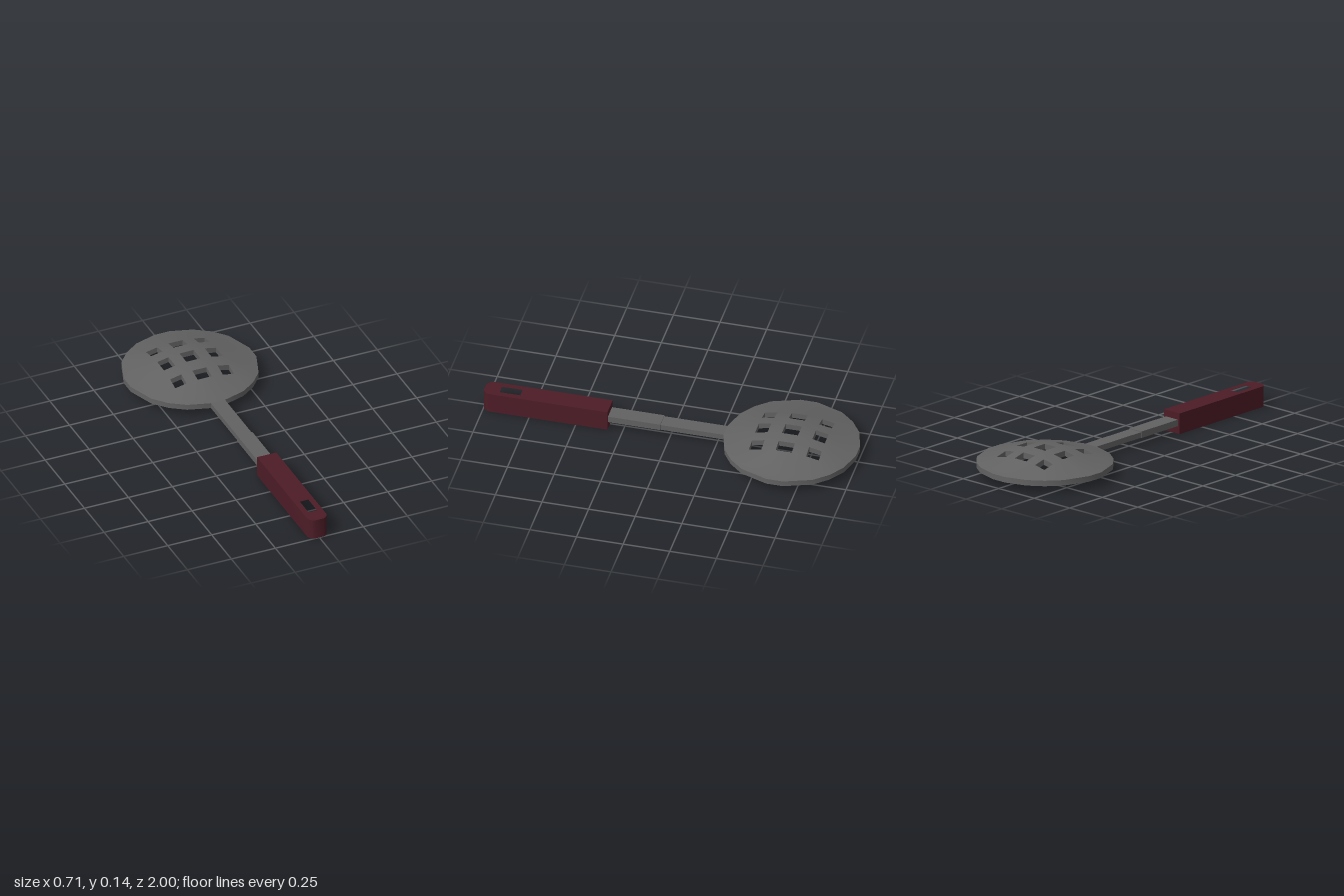
import * as THREE from 'three';
import { toCreasedNormals } from 'three/addons/utils/BufferGeometryUtils.js';

const metal = new THREE.MeshStandardMaterial({ color: 0x626262 });
const grip = new THREE.MeshStandardMaterial({ color: 0x4c1c26 });
const HEAD_Z = -0.645, THICK = 0.03;

// Domed, pierced head: a 5x5 cell grid with 9 cells open, ringed out to a 20-sided rim
function headGeometry() {
  const gx = [-0.167, -0.103, -0.04, 0.04, 0.103, 0.167];
  const gz = [-0.187, -0.12, -0.043, 0.043, 0.12, 0.187];
  const pts = [], quads = [];
  const dome = (x, z) => 0.145 - 0.75 * (x * x + z * z);
  for (const z of gz) for (const x of gx) pts.push([x, dome(x, z), z]);
  for (let j = 0; j < 5; j++) for (let i = 0; i < 5; i++) {
    if (i % 2 === 0 && j % 2 === 0) continue; // square hole
    const a = j * 6 + i;
    quads.push([a, a + 6, a + 7, a + 1]);
  }

  // rim points matching the border of the grid, addressed by column and row
  const side = [[0.24, 0.265], [0.16, 0.32], [0.043, 0.355]];
  const flank = [[0.24, 0.265], [0.305, 0.19], [0.357, 0.045]];
  const rimPoint = (i, j) => {
    const sx = i < 3 ? -1 : 1, sz = j < 3 ? -1 : 1;
    const ci = Math.min(i, 5 - i), cj = Math.min(j, 5 - j);
    const [x, z] = cj === 0 ? side[ci] : flank[cj];
    return [sx * x, sz * z];
  };
  const border = [];
  for (let k = 0; k < 5; k++) border.push([k, 0]);
  for (let k = 0; k < 5; k++) border.push([5, k]);
  for (let k = 5; k > 0; k--) border.push([k, 5]);
  for (let k = 5; k > 0; k--) border.push([0, k]);
  let inner = border.map(([i, j]) => j * 6 + i);
  for (const [t, y] of [[0.8, 0.079], [1, 0.072]]) {
    const outer = border.map(([i, j]) => {
      const [x, z] = rimPoint(i, j);
      pts.push([gx[i] + (x - gx[i]) * t, y, gz[j] + (z - gz[j]) * t]);
      return pts.length - 1;
    });
    for (let k = 0; k < 20; k++) {
      const n = (k + 1) % 20;
      quads.push([inner[k], inner[n], outer[n], outer[k]]);
    }
    inner = outer;
  }

  // top and underside, then walls along every open edge
  const pos = [];
  const top = i => pts[i], low = i => [pts[i][0], pts[i][1] - THICK, pts[i][2]];
  const quad = (a, b, c, d) => pos.push(...a, ...b, ...c, ...a, ...c, ...d);
  const edges = new Set();
  for (const q of quads) q.forEach((a, k) => edges.add(a + '_' + q[(k + 1) % 4]));
  for (const q of quads) {
    quad(...q.map(top));
    quad(...[...q].reverse().map(low));
    q.forEach((a, k) => {
      const b = q[(k + 1) % 4];
      if (!edges.has(b + '_' + a)) quad(top(a), low(a), low(b), top(b));
    });
  }
  const g = new THREE.BufferGeometry();
  g.setAttribute('position', new THREE.Float32BufferAttribute(pos, 3));
  return toCreasedNormals(g, 0.6);
}

// Grip with rounded end corners and a hanging slot, drawn in plan and extruded upwards
function handleGeometry() {
  const v = (x, z) => new THREE.Vector2(x, -z);
  const half = [[0.055, 0.33], [0.055, 0.968], [0.05, 0.98], [0.036, 0.995], [0.025, 1]];
  const shape = new THREE.Shape([
    ...half.map(([x, z]) => v(x, z)),
    ...[...half].reverse().map(([x, z]) => v(-x, z)),
  ]);
  shape.holes.push(new THREE.Path([
    v(-0.024, 0.805), v(0.024, 0.805), v(0.024, 0.915), v(-0.024, 0.915),
  ]));
  const g = new THREE.ExtrudeGeometry(shape, { depth: 0.112, bevelEnabled: false });
  g.rotateX(-Math.PI / 2);
  return toCreasedNormals(g, 0.8);
}

export function createModel() {
  const group = new THREE.Group();
  const add = (name, geometry, material) => {
    const mesh = new THREE.Mesh(geometry, material);
    mesh.name = name;
    group.add(mesh);
    return mesh;
  };
  const bar = (name, halfWidth, y0, y1, z0, z1) =>
    add(name, new THREE.BoxGeometry(halfWidth * 2, y1 - y0, z1 - z0), metal)
      .position.set(0, (y0 + y1) / 2, (z0 + z1) / 2);

  add('piercedHead', headGeometry(), metal).position.z = HEAD_Z;
  // Stem, slightly thicker towards the grip
  bar('stem', 0.04, 0.042, 0.072, -0.293, 0.05);
  bar('stemBase', 0.043, 0.041, 0.076, 0.05, 0.34);
  add('handle', handleGeometry(), grip);
  return group;
}
